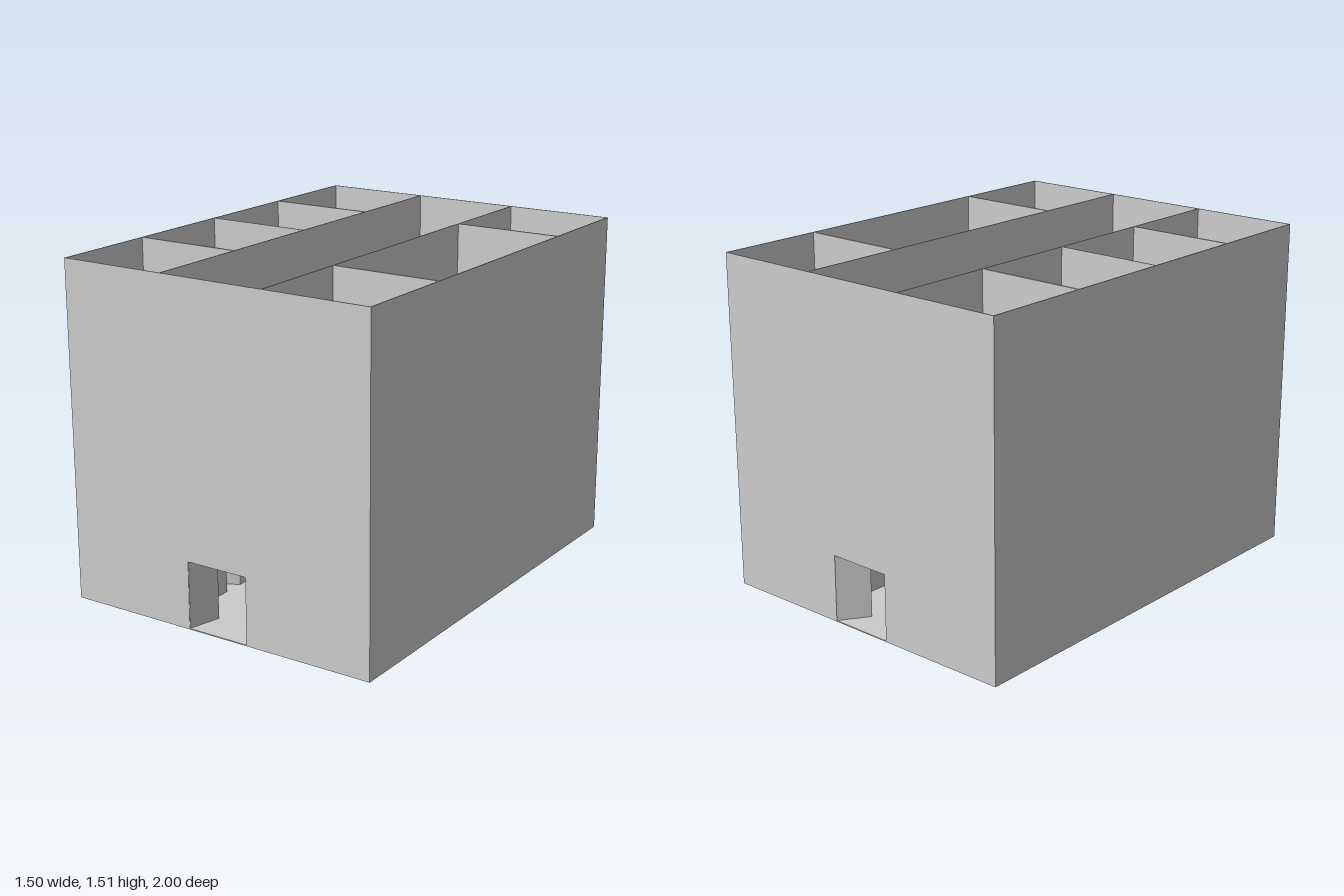
import * as THREE from 'three';

const W = 1.5, D = 2, T = 0.005;       // plan size, thin wall and slab thickness
const STOREY = 0.505, WALL_H = STOREY - T;
const CORRIDOR = 0.25;                 // half width of the corridor

const material = new THREE.MeshStandardMaterial({ color: 0xcccccc, flatShading: true });

function addMesh(parent, name, geometry, x = 0, y = 0, z = 0) {
  const mesh = new THREE.Mesh(geometry, material);
  mesh.name = name;
  mesh.position.set(x, y, z);
  parent.add(mesh);
  return mesh;
}

// Upright wall with door notches [from, to, height] rising from its foot
function wallGeometry(length, openings = []) {
  const h = length / 2, shape = new THREE.Shape();
  shape.moveTo(-h, 0);
  for (const [from, to, height] of [...openings].sort((a, b) => a[0] - b[0])) {
    shape.lineTo(from, 0);
    shape.lineTo(from, height);
    shape.lineTo(to, height);
    shape.lineTo(to, 0);
  }
  shape.lineTo(h, 0);
  shape.lineTo(h, WALL_H);
  shape.lineTo(-h, WALL_H);
  shape.closePath();
  const geometry = new THREE.ExtrudeGeometry(shape, { depth: T, bevelEnabled: false });
  return geometry.translate(0, 0, -T / 2);
}

// Open door leaf, hinged at (x, z) and pointing along (dx, dz)
function addDoor(parent, name, x, z, dx, dz, length, height) {
  const geometry = new THREE.BoxGeometry(length, height, 0.003).translate(length / 2, height / 2, 0);
  addMesh(parent, name, geometry, x, T, z).rotation.y = Math.atan2(-dz, dx);
}

// Doors as [hinge z, direction along z]; partitions as [z, thickness]
const SIDES = [
  { sign: -1, name: 'right',
    doors: [[-0.52, -1], [-0.485, 1], [0.015, 1], [0.515, 1]],
    partitions: [[-0.5025, 0.01], [-0.002, T], [0.505, 0.01]] },
  { sign: 1, name: 'left',
    doors: [[-0.52, -1], [-0.008, 1], [0.515, 1]],
    partitions: [[-0.5025, 0.01], [0.505, 0.01]] },
];
const DOOR_W = 0.095, DOOR_H = 0.25;
const ENTRY = [-0.145, 0.15, 0.3];

function createStorey(level) {
  const storey = new THREE.Group();
  storey.name = 'storey' + (level + 1);
  storey.position.y = level * STOREY;

  addMesh(storey, 'floorSlab', new THREE.BoxGeometry(W, T, D), 0, T / 2, 0);

  // End walls, with a double entrance at ground level
  for (const end of [1, -1]) {
    const name = end > 0 ? 'front' : 'back';
    const z = end * (D / 2 - T / 2);
    addMesh(storey, name + 'Wall', wallGeometry(W, level === 0 ? [ENTRY] : []), 0, T, z);
    if (level === 0) {
      addDoor(storey, name + 'EntranceLeafRight', ENTRY[0], z, 0.27, -end, 0.15, ENTRY[2]);
      addDoor(storey, name + 'EntranceLeafLeft', ENTRY[1], z, -0.68, -end, 0.15, ENTRY[2]);
    }
  }

  for (const { sign, name, doors, partitions } of SIDES) {
    // Outer wall
    addMesh(storey, name + 'OuterWall', new THREE.BoxGeometry(T, WALL_H, D - 2 * T),
      sign * (W / 2 - T / 2), T + WALL_H / 2, 0);

    // Corridor wall with room doors standing open into the rooms
    const openings = doors.map(([z, d]) => [Math.min(z, z + d * DOOR_W), Math.max(z, z + d * DOOR_W), DOOR_H]);
    const wall = wallGeometry(D - 2 * T, openings).rotateY(-Math.PI / 2);
    addMesh(storey, name + 'CorridorWall', wall, sign * CORRIDOR, T, 0);
    for (const [z, d] of doors) {
      addDoor(storey, name + 'RoomDoor', sign * (CORRIDOR + T / 2), z, sign * 0.866, d * 0.5, 0.092, DOOR_H);
    }

    // Partitions between rooms
    const inner = CORRIDOR + T / 2, outer = W / 2 - T;
    for (const [z, thickness] of partitions) {
      addMesh(storey, name + 'Partition', new THREE.BoxGeometry(outer - inner, WALL_H, thickness),
        sign * (inner + outer) / 2, T + WALL_H / 2, z);
    }
  }
  return storey;
}

export function createModel() {
  const building = new THREE.Group();
  building.name = 'building';
  for (let level = 0; level < 3; level++) building.add(createStorey(level));
  return building;
}
